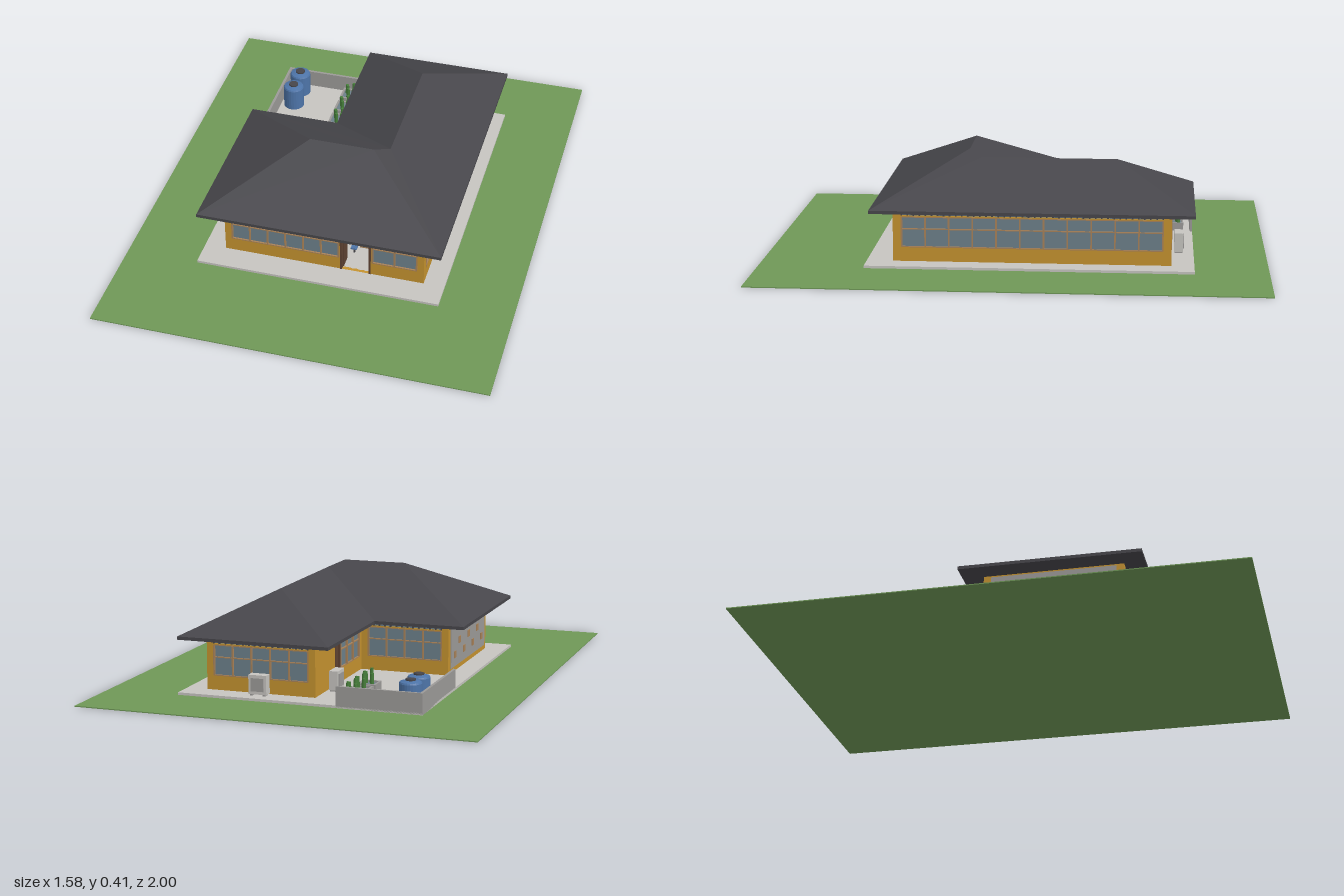
import * as THREE from 'three';

const mat = (name, color) => {
  const m = new THREE.MeshStandardMaterial({ color });
  m.name = name;
  return m;
};

export function createModel() {
  const grass = mat('grass', 0x6f9857);
  const roofing = mat('roofing', 0x47464b);
  const concrete = mat('concrete', 0xc6c4c0);
  const block = mat('block', 0x9c9a98);
  const ochre = mat('ochre', 0xc4922f);
  const glass = mat('glass', 0x6c808a);
  const timber = mat('timber', 0xa98258);
  const darkWood = mat('darkWood', 0x5e4232);
  const blue = mat('blue', 0x4d74a8);
  const leaf = mat('leaf', 0x47803b);

  const model = new THREE.Group();
  model.name = 'house';

  const add = (parent, name, geometry, material, x = 0, y = 0, z = 0) => {
    const mesh = new THREE.Mesh(geometry, material);
    mesh.name = name;
    mesh.position.set(x, y, z);
    parent.add(mesh);
    return mesh;
  };
  // Box given by its extents on each axis
  const box = (parent, name, material, x0, x1, y0, y1, z0, z1) =>
    add(parent, name, new THREE.BoxGeometry(x1 - x0, y1 - y0, z1 - z0), material,
      (x0 + x1) / 2, (y0 + y1) / 2, (z0 + z1) / 2);
  const group = (name, x = 0, y = 0, z = 0, ry = 0) => {
    const g = new THREE.Group();
    g.name = name;
    g.position.set(x, y, z);
    g.rotation.y = ry;
    model.add(g);
    return g;
  };

  // Lawn and floor slab
  box(model, 'lawn', grass, -0.79, 0.79, 0, 0.004, -1, 1);
  box(model, 'floorSlab', concrete, -0.497, 0.494, 0.004, 0.014, -0.71, 0.58);

  // Hipped L-shaped roof
  const low = 0.222, eave = 0.235;
  const plan = [[-0.497, -0.17], [-0.497, 0.558], [0.494, 0.558],
    [0.494, -0.71], [-0.125, -0.71], [-0.125, -0.17]];
  const at = (y) => plan.map(([x, z]) => [x, y, z]);
  const [A, B, C, D, E, F] = at(eave);
  const [a, b, c, d, e, f] = at(low);
  const corner = [0.494, low, -0.17];
  const R1 = [-0.133, 0.415, 0.194], R2 = [0.13, 0.415, 0.194];
  const R3 = [0.185, 0.39, 0.14], R4 = [0.185, 0.39, -0.401];
  const faces = [
    [B, C, R2, R1], [A, B, R1], [A, R1, R2, R3, F],
    [C, D, R4, R3, R2], [D, E, R4], [E, F, R3, R4],
    [a, corner, c, b], [e, d, corner, f],
  ];
  const lo = at(low), hi = at(eave);
  for (let i = 0; i < 6; i++) {
    const j = (i + 1) % 6;
    faces.push([lo[i], lo[j], hi[j], hi[i]]);
  }
  const verts = [];
  for (const p of faces)
    for (let i = 1; i < p.length - 1; i++) verts.push(...p[0], ...p[i], ...p[i + 1]);
  const roofGeo = new THREE.BufferGeometry();
  roofGeo.setAttribute('position', new THREE.Float32BufferAttribute(verts, 3));
  roofGeo.computeVertexNormals();
  add(model, 'roof', roofGeo, roofing);

  // Wall with openings; the outer face is local z = 0, facing +z
  const T = 0.016;
  const wall = (name, length, x, z, ry, openings) => {
    const g = group(name, x, 0, z, ry);
    const rect = (P, x0, x1, y0, y1) => {
      const p = new P();
      p.moveTo(x0, y0);
      p.lineTo(x1, y0);
      p.lineTo(x1, y1);
      p.lineTo(x0, y1);
      p.closePath();
      return p;
    };
    const shape = rect(THREE.Shape, -length / 2, length / 2, 0.01, 0.23);
    for (const o of openings) {
      const [x0, x1, y0, y1] = o.rect;
      shape.holes.push(rect(THREE.Path, x0, x1, y0, y1));
      const w = x1 - x0;
      if (o.kind === 'window') {
        box(g, 'pane', glass, x0, x1, y0, y1, -0.01, -0.006);
        for (let i = 0; i <= o.bays; i++) {
          const m = x0 + (w * i) / o.bays;
          box(g, 'mullion', timber, m - 0.003, m + 0.003, y0, y1, -0.013, 0.002);
        }
        for (const y of [y0, y0 + (y1 - y0) * 0.6, y1])
          box(g, 'rail', timber, x0, x1, y - 0.002, y + 0.002, -0.013, 0.001);
      } else if (o.kind === 'vent') {
        box(g, 'ventPane', glass, x0, x1, y0, y1, -0.01, -0.006);
        const n = Math.round(w / 0.024);
        for (let i = 0; i <= n; i++) {
          const m = x0 + (w * i) / n;
          box(g, 'ventSlat', roofing, m - 0.003, m + 0.003, y0, y1, -0.012, 0.002);
        }
      } else {
        // Door frame, with leaves open or shut
        for (const m of [x0, x1 - 0.008])
          box(g, 'doorJamb', darkWood, m, m + 0.008, y0, y1, -0.018, 0.003);
        box(g, 'doorHead', darkWood, x0, x1, y1 - 0.007, y1, -0.018, 0.003);
        if (o.kind === 'door') box(g, 'doorLeaf', darkWood, x0, x1, y0, y1, -0.012, -0.006);
        else for (const m of [x0 + 0.006, x1 - 0.011])
          box(g, 'openLeaf', darkWood, m, m + 0.005, y0, y1 - 0.007, -0.07, -0.018);
      }
    }
    const geo = new THREE.ExtrudeGeometry(shape, { depth: T, bevelEnabled: false });
    add(g, 'wallPanel', geo, ochre, 0, 0, -T);
    return g;
  };
  const win = (x0, x1, bays) => ({ kind: 'window', rect: [x0, x1, 0.072, 0.192], bays });
  const vent = (x0, x1) => ({ kind: 'vent', rect: [x0, x1, 0.198, 0.224] });
  const door = (kind, x0, x1) => ({ kind, rect: [x0, x1, 0.014, 0.19] });

  const H = Math.PI / 2;
  wall('frontWall', 0.82, 0, 0.475, 0,
    [win(-0.38, 0.062, 6), door('doorway', 0.068, 0.194), win(0.2, 0.38, 2), vent(-0.38, 0.38)]);
  wall('leftWall', 1.095, 0.41, -0.0725, H, [win(-0.513, 0.513, 11), vent(-0.513, 0.513)]);
  wall('backWall', 0.45, 0.185, -0.62, Math.PI, [win(-0.195, 0.195, 5), vent(-0.195, 0.195)]);
  wall('courtSideWall', 0.535, -0.04, -0.3525, -H,
    [door('door', -0.05, 0.01), win(0.02, 0.24, 3), vent(-0.24, 0.24)]);
  wall('courtBackWall', 0.37, -0.225, -0.085, Math.PI, [win(-0.155, 0.155, 4), vent(-0.155, 0.155)]);

  // Side wall with a grey panel and small scattered vents
  const side = wall('rightWall', 0.56, -0.41, 0.195, -H, []);
  box(side, 'greyPanel', block, -0.25, 0.25, 0.035, 0.215, 0, 0.004);
  for (let i = 0; i < 7; i++) {
    const x = -0.2 + i * 0.066, y = i % 2 ? 0.135 : 0.085;
    box(side, 'smallVent', timber, x - 0.014, x + 0.014, y - 0.014, y + 0.014, 0.002, 0.007);
  }

  // Reception desk and chair seen through the doorway
  box(model, 'desk', timber, 0.11, 0.18, 0.014, 0.085, 0.29, 0.33);
  box(model, 'screen', roofing, 0.13, 0.16, 0.088, 0.112, 0.305, 0.311);
  box(model, 'chairSeat', blue, 0.085, 0.11, 0.04, 0.046, 0.35, 0.38);
  box(model, 'chairBack', blue, 0.085, 0.11, 0.046, 0.08, 0.35, 0.355);
  box(model, 'chairPost', roofing, 0.095, 0.1, 0.014, 0.04, 0.363, 0.368);

  // Courtyard walls
  box(model, 'courtWallBack', block, -0.497, -0.155, 0.004, 0.088, -0.71, -0.699);
  box(model, 'courtWallSide', block, -0.497, -0.486, 0.004, 0.088, -0.699, -0.275);

  // Water tanks
  const profile = [[0, 0], [0.044, 0], [0.044, 0.094], [0.041, 0.1], [0.024, 0.105], [0, 0.105]]
    .map(([r, y]) => new THREE.Vector2(r, y));
  for (const z of [-0.645, -0.542]) {
    const tank = group('waterTank', -0.43, 0.014, z);
    const body = new THREE.LatheGeometry(profile, 24).toNonIndexed();
    body.computeVertexNormals();
    add(tank, 'tankBody', body, blue);
    add(tank, 'tankLid', new THREE.CylinderGeometry(0.02, 0.02, 0.008, 16), roofing, 0, 0.107, 0);
  }

  // Planters with upright plants
  for (const z of [-0.635, -0.538, -0.442]) {
    const p = group('planter', -0.197, 0.014, z);
    for (const s of [-1, 1]) {
      box(p, 'planterSide', block, s * 0.034 - 0.004, s * 0.034 + 0.004, 0, 0.035, -0.038, 0.038);
      box(p, 'planterEnd', block, -0.034, 0.034, 0, 0.035, s * 0.034 - 0.004, s * 0.034 + 0.004);
    }
    box(p, 'planterBed', glass, -0.032, 0.032, 0, 0.028, -0.032, 0.032);
    [[-0.016, -0.012], [0.014, -0.016], [-0.006, 0.014], [0.018, 0.014], [0, 0.028]]
      .forEach(([x, dz], i) => {
        const h = 0.05 + 0.008 * (i % 3);
        add(p, 'plant', new THREE.CylinderGeometry(0.006, 0.008, h, 6), leaf, x, 0.024 + h / 2, dz);
      });
  }

  // Outdoor cooling units
  const unit = (x, z, ry) => {
    const g = group('coolingUnit', x, 0.014, z, ry);
    box(g, 'unitCase', concrete, -0.037, 0.037, 0.006, 0.082, -0.018, 0.018);
    box(g, 'unitGrille', block, -0.026, 0.026, 0.018, 0.07, 0.018, 0.021);
    for (const s of [-0.026, 0.026]) box(g, 'unitFoot', block, s - 0.005, s + 0.005, 0, 0.006, -0.016, 0.016);
  };
  unit(0.18, -0.65, Math.PI);
  unit(-0.072, -0.47, -H);

  return model;
}
